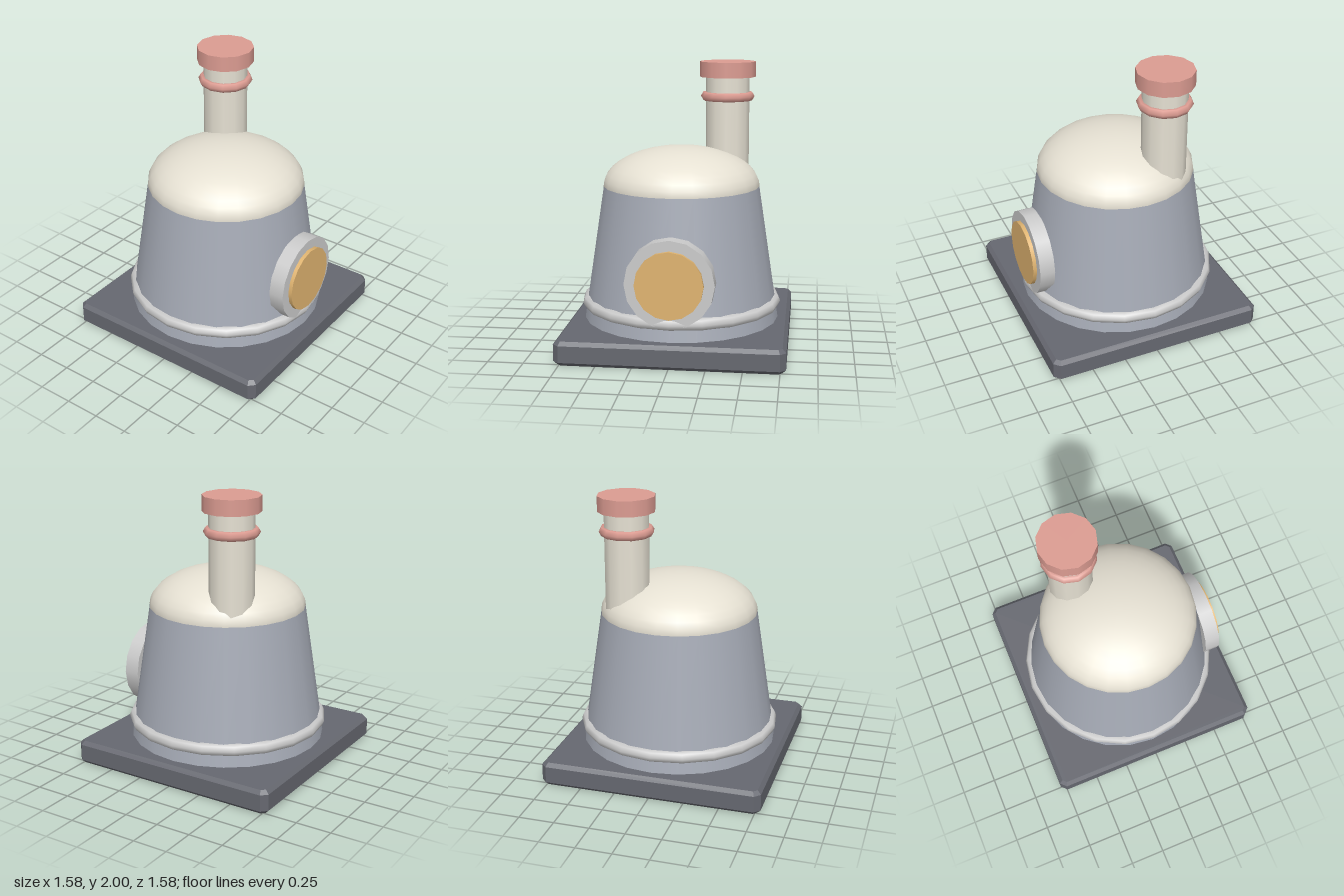
import * as THREE from 'three';

const paint = (color) => new THREE.MeshStandardMaterial({ color });
const steel = paint(0xcccccc);
const slate = paint(0xa6abb6);
const dark = paint(0x666870);
const cream = paint(0xe6e1d3);
const pink = paint(0xdc9c92);
const amber = paint(0xe0b470);

export function createModel() {
  const model = new THREE.Group();

  const add = (name, geometry, material, x = 0, y = 0, z = 0) => {
    const mesh = new THREE.Mesh(geometry, material);
    mesh.name = name;
    mesh.position.set(x, y, z);
    model.add(mesh);
    return mesh;
  };
  // Upright cylinder or cone between two heights
  const column = (name, rTop, rBottom, y0, y1, sides, material, x = 0, z = 0) =>
    add(name, new THREE.CylinderGeometry(rTop, rBottom, y1 - y0, sides), material, x, (y0 + y1) / 2, z);
  // Horizontal ring
  const ring = (name, radius, tube, tubeSides, sides, material, x, y, z) =>
    add(name, new THREE.TorusGeometry(radius, tube, tubeSides, sides).rotateX(Math.PI / 2), material, x, y, z);
  // Disc facing the front
  const disc = (name, radius, z0, z1, y, sides, material) =>
    add(name, new THREE.CylinderGeometry(radius, radius, z1 - z0, sides).rotateX(Math.PI / 2), material, 0, y, (z0 + z1) / 2);

  // Square base with every edge chamfered
  const half = 0.79, c = 0.026, inner = half - c, cut = inner - c;
  const outline = new THREE.Shape([
    [inner, -cut], [inner, cut], [cut, inner], [-cut, inner],
    [-inner, cut], [-inner, -cut], [-cut, -inner], [cut, -inner],
  ].map(([x, y]) => new THREE.Vector2(x, y)));
  const slab = new THREE.ExtrudeGeometry(outline, {
    depth: 0.17 - 2 * c, bevelEnabled: true, bevelSegments: 1, bevelSize: c, bevelThickness: c,
  }).rotateX(-Math.PI / 2);
  add('base', slab, dark, 0, c, 0);

  // Tapered body with its foot ring
  column('body', 0.56, 0.705, 0.17, 1.13, 24, slate);
  ring('footRing', 0.677, 0.045, 8, 20, steel, 0, 0.29, 0);

  // Flattened dome
  const dome = new THREE.SphereGeometry(0.562, 24, 10, 0, Math.PI * 2, 0, Math.PI / 2).scale(1, 0.5, 1);
  add('dome', dome, cream, 0, 1.13, 0);

  // Chimney, set off to the back left
  const cx = 0.31, cz = -0.23;
  column('chimneyPipe', 0.158, 0.158, 1.1, 1.9, 12, cream, cx, cz);
  ring('chimneyRing', 0.16, 0.035, 6, 12, pink, cx, 1.75, cz);
  column('chimneyCap', 0.203, 0.203, 1.89, 2, 12, pink, cx, cz);

  // Round window
  disc('windowFrame', 0.308, 0.593, 0.703, 0.568, 16, steel);
  disc('windowPane', 0.235, 0.64, 0.73, 0.568, 16, amber);

  return model;
}
